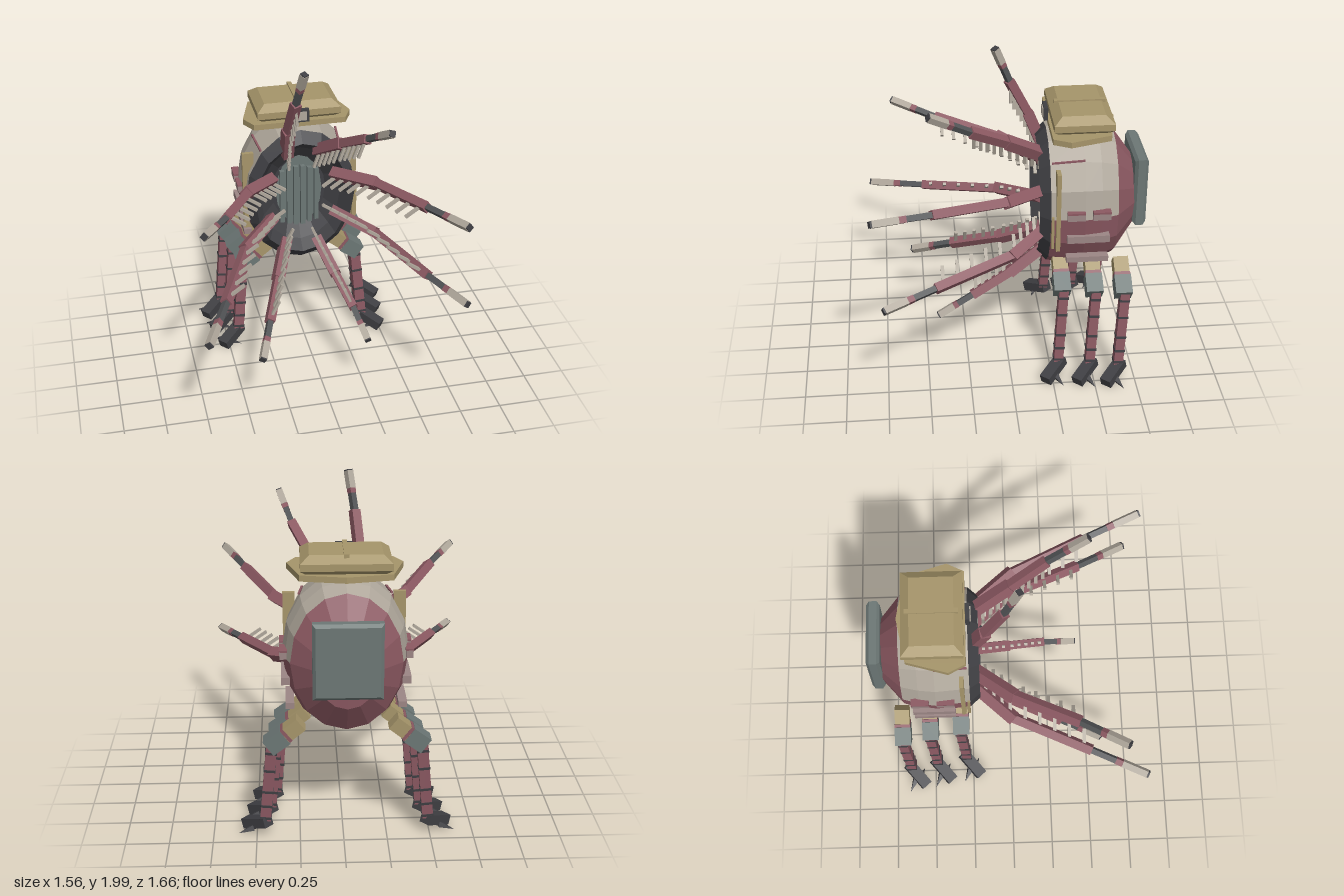
import * as THREE from 'three';

const mat = (name, color) => {
  const m = new THREE.MeshStandardMaterial({ color });
  m.name = name;
  m.flatShading = true;
  return m;
};
const M = {
  rose: mat('dusty rose', 0x8c5962),
  cream: mat('warm cream', 0xb0a89c),
  tan: mat('khaki tan', 0xa6956a),
  grey: mat('green grey', 0x6c7775),
  dark: mat('charcoal', 0x3f3f43),
  steel: mat('dark steel', 0x525456),
  vent: mat('pale mauve', 0x9c8685),
};
const CX = -0.02, CY = 1.07; // body axis
const V = (x, y, z) => new THREE.Vector3(x, y, z);

function add(parent, geo, material, name, x = 0, y = 0, z = 0) {
  const m = new THREE.Mesh(geo, material);
  m.name = name;
  m.position.set(x, y, z);
  parent.add(m);
  return m;
}
const box = (parent, w, h, d, material, name, x, y, z) =>
  add(parent, new THREE.BoxGeometry(w, h, d), material, name, x, y, z);

// Box stretched between two points
function bar(parent, a, b, w, h, material, name, up = V(0, 1, 0)) {
  const m = add(parent, new THREE.BoxGeometry(w, h, a.distanceTo(b)), material, name);
  m.position.copy(a).add(b).multiplyScalar(0.5);
  m.up.copy(up);
  m.lookAt(b);
  return m;
}

// Box with one wide chamfer; thickness runs along z
function chamferBox(w, h, d, size, thick) {
  const x = w / 2 - size, y = h / 2 - size;
  const s = new THREE.Shape([[-x, -y], [x, -y], [x, y], [-x, y]].map(p => new THREE.Vector2(...p)));
  const g = new THREE.ExtrudeGeometry(s, {
    depth: d - 2 * thick, bevelSize: size, bevelThickness: thick, bevelSegments: 1,
  });
  return g.center();
}

// Elliptical shell turned about the z axis; profile is [z, radius] from back to front
function shell(parent, profile, start, length, sides, material, name) {
  const g = new THREE.LatheGeometry(profile.map(([z, r]) => new THREE.Vector2(r, z)), sides, start, length);
  g.rotateX(Math.PI / 2).scale(0.78, 1, 1);
  add(parent, g, material, name, CX, CY, 0);
}

function buildBody(root) {
  const g = new THREE.Group();
  g.name = 'body';
  root.add(g);
  const mid = [[-0.64, 0.405], [-0.54, 0.445], [-0.44, 0.465], [-0.24, 0.44]];
  shell(g, [[-0.78, 0], [-0.76, 0.23], [-0.64, 0.405]], 0, Math.PI * 2, 16, M.rose, 'rearShell');
  shell(g, mid, Math.PI / 2, Math.PI, 8, M.cream, 'upperShell');
  shell(g, mid, -Math.PI / 2, Math.PI, 8, M.rose, 'lowerShell');
  shell(g, [[-0.24, 0.44], [-0.18, 0.375], [-0.25, 0.32], [-0.32, 0.22], [-0.32, 0]],
    0, Math.PI * 2, 16, M.dark, 'mouthBowl');

  // Mouth grille
  const plate = new THREE.CircleGeometry(1, 16).scale(0.145, 0.24, 1);
  add(g, plate, M.grey, 'grillePlate', CX, CY, -0.305);
  for (let i = 0; i < 6; i++) {
    const x = (i - 2.5) * 0.043;
    box(g, 0.028, 0.42 - Math.abs(x) * 0.6, 0.03, M.grey, 'grilleSlat', CX + x, CY - 0.03, -0.292);
  }

  // Rear panel
  add(g, chamferBox(0.39, 0.44, 0.08, 0.018, 0.018), M.grey, 'rearPanel', CX, 1.14, -0.79);

  // Roof pack
  const base = new THREE.Shape([[-0.28, 0.25], [0.28, 0.25], [0.33, 0.35], [0.26, 0.59], [0, 0.64], [-0.26, 0.59], [-0.33, 0.35]]
    .map(p => new THREE.Vector2(...p)));
  const baseGeo = new THREE.ExtrudeGeometry(base, { depth: 0.035, bevelEnabled: false });
  add(g, baseGeo.rotateX(-Math.PI / 2), M.tan, 'packBase', CX, 1.53, 0);
  add(g, chamferBox(0.51, 0.35, 0.12, 0.05, 0.04).rotateX(-Math.PI / 2), M.tan, 'packCase', CX, 1.61, -0.435);
  box(g, 0.028, 0.02, 0.3, M.tan, 'packStrap', CX, 1.668, -0.435);
  box(g, 0.1, 0.08, 0.025, M.dark, 'lampHousing', CX, 1.61, -0.235);
  box(g, 0.07, 0.055, 0.008, M.cream, 'lampFace', CX, 1.61, -0.22);

  // Side plates and vents
  for (const s of [-1, 1]) {
    box(g, 0.07, 0.51, 0.025, M.tan, 'sidePlate', CX + s * 0.32, 1.115, -0.282);
    box(g, 0.03, 0.21, 0.015, M.tan, 'sidePlateTrim', CX + s * 0.34, 0.985, -0.25);
    box(g, 0.05, 0.045, 0.25, M.vent, 'sideVent', CX + s * 0.342, 0.94, -0.46);
    box(g, 0.05, 0.035, 0.25, M.vent, 'lowVent', CX + s * 0.32, 0.79, -0.46);
    for (const z of [-0.385, -0.535]) {
      box(g, 0.04, 0.045, 0.105, M.vent, 'upperVent', CX + s * 0.355, 1.095, z);
      box(g, 0.045, 0.012, 0.105, M.rose, 'ventLid', CX + s * 0.355, 1.12, z);
    }
    bar(g, V(CX + s * 0.243, 1.39, -0.25), V(CX + s * 0.262, 1.41, -0.44), 0.012, 0.009, M.rose, 'shellStripe');
  }
}

// Jointed arm: two thick segments, a banded tip and a row of spines
function buildArm(root, pts, spine) {
  const g = new THREE.Group();
  g.name = 'arm';
  root.add(g);
  const [a, b, c, d] = pts.map(p => V(...p));
  const up = V(spine[0], spine[1], 0).normalize();
  const at = t => c.clone().lerp(d, t);
  bar(g, a, b, 0.066, 0.066, M.rose, 'armBase', up);
  bar(g, b.clone().lerp(a, 0.06), c, 0.052, 0.052, M.rose, 'armMiddle', up);
  bar(g, at(-0.05), at(0.42), 0.034, 0.034, M.steel, 'armTipShaft', up);
  bar(g, at(0.42), at(0.54), 0.037, 0.037, M.rose, 'armTipBand', up);
  bar(g, at(0.54), at(0.97), 0.04, 0.04, M.cream, 'armTip', up);
  bar(g, at(0.97), at(1), 0.036, 0.036, M.dark, 'armTipCap', up);
  for (const [p, q, len] of [[a, b, 0.125], [b, c, 0.12]]) {
    for (let i = 0; i < 5; i++) {
      const root0 = p.clone().lerp(q, 0.14 + i * 0.19);
      bar(g, root0, root0.clone().addScaledVector(up, len), 0.016, 0.02, M.cream, 'armSpine', V(0, 0, 1));
    }
  }
}

const ARMS = [
  { spine: [0.1, -1], pts: [[-0.11, 1.36, -0.22], [-0.115, 1.56, -0.14], [-0.09, 1.78, -0.03], [-0.057, 2.0, 0.055]] },
  { spine: [-0.35, -1], pts: [[0.08, 1.37, -0.23], [0.18, 1.52, 0.01], [0.275, 1.64, 0.22], [0.35, 1.78, 0.46]] },
  { spine: [1, -0.7], pts: [[-0.2, 1.2, -0.23], [-0.4, 1.26, 0.02], [-0.58, 1.32, 0.39], [-0.74, 1.375, 0.66]] },
  { spine: [-1, -0.7], pts: [[0.18, 1.2, -0.23], [0.39, 1.24, 0.03], [0.57, 1.29, 0.46], [0.71, 1.33, 0.8]] },
  { spine: [1, 0.7], pts: [[-0.2, 0.93, -0.23], [-0.42, 0.88, 0.02], [-0.61, 0.82, 0.48], [-0.76, 0.775, 0.82]] },
  { spine: [-1, 0.7], pts: [[0.18, 0.94, -0.23], [0.4, 0.88, 0.0], [0.6, 0.82, 0.45], [0.75, 0.785, 0.75]] },
  { spine: [0.5, 1], pts: [[-0.12, 0.76, -0.23], [-0.22, 0.64, 0.02], [-0.33, 0.54, 0.32], [-0.42, 0.45, 0.57]] },
  { spine: [-0.4, 1], pts: [[0.08, 0.75, -0.23], [0.15, 0.61, -0.01], [0.21, 0.5, 0.22], [0.25, 0.39, 0.43]] },
];

// Walking leg; i counts from front to rear, s is the side
function buildLeg(root, s, i) {
  const g = new THREE.Group();
  g.name = 'leg';
  root.add(g);
  const z = [-0.31, -0.5, -0.67][i], o = i * 0.03;
  const P = (x, y, dz) => V(CX + s * (x + o), y, z + dz);
  const fwd = V(0, 0, 1);
  bar(g, P(0.2, 0.73, 0), P(0.3, 0.65, 0), 0.085, 0.09, M.tan, 'hipBlock', fwd);
  bar(g, P(0.275, 0.67, 0), P(0.29, 0.658, 0), 0.09, 0.095, M.rose, 'hipBand', fwd);
  bar(g, P(0.29, 0.655, 0), P(0.385, 0.585, 0), 0.1, 0.1, M.grey, 'hipCover', fwd);
  const top = P(0.365, 0.6, -0.01), ankle = P(0.41, 0.11, 0.02);
  const at = t => top.clone().lerp(ankle, t);
  bar(g, top, ankle, 0.062, 0.056, M.rose, 'shin', fwd);
  for (const t of [0.1, 0.33, 0.61, 0.8, 0.96]) {
    bar(g, at(t - 0.015), at(t + 0.015), 0.068, 0.062, M.dark, 'shinBand', fwd);
  }
  bar(g, P(0.395, 0.105, -0.005), P(0.525, 0.045, 0.11), 0.07, 0.06, M.dark, 'foot');
  for (const k of [-1, 1]) {
    const claw = add(g, new THREE.ConeGeometry(0.024, 0.09, 4), M.dark, 'claw');
    claw.position.copy(P(0.485 + k * 0.04, 0.035, 0.05 - k * 0.03));
    claw.quaternion.setFromUnitVectors(V(0, 1, 0), V(s * k * 0.8, -0.15, -k * 0.35).normalize());
  }
}

export function createModel() {
  const root = new THREE.Group();
  root.name = 'armedWalker';
  buildBody(root);
  ARMS.forEach(({ pts, spine }) => buildArm(root, pts, spine));
  for (const s of [-1, 1]) for (let i = 0; i < 3; i++) buildLeg(root, s, i);
  return root;
}
